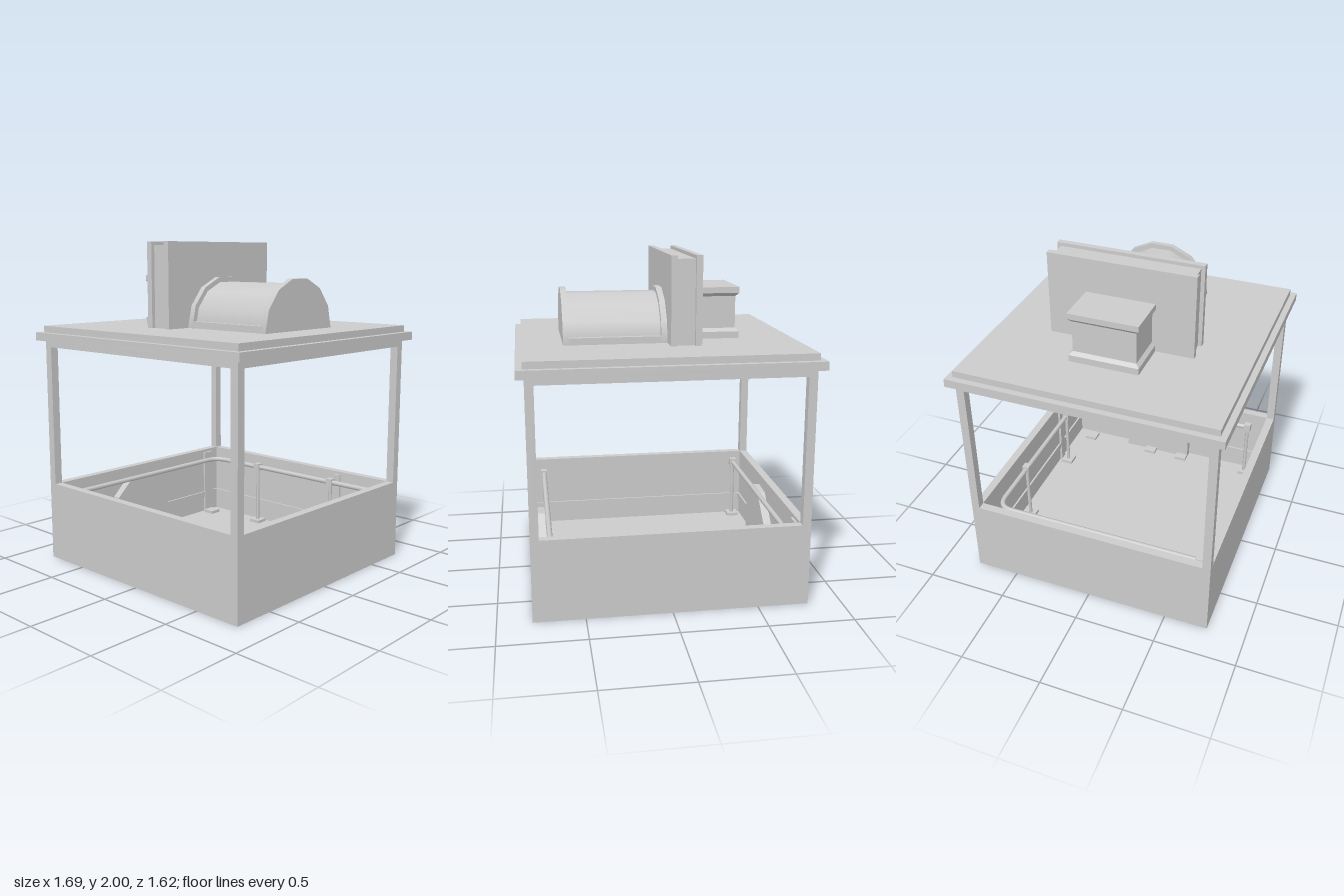
import * as THREE from 'three';

const material = new THREE.MeshStandardMaterial({ color: 0xcccccc });

export function createModel() {
  const root = new THREE.Group();

  function add(name, geometry, x = 0, y = 0, z = 0) {
    const mesh = new THREE.Mesh(geometry, material);
    mesh.name = name;
    mesh.position.set(x, y, z);
    root.add(mesh);
    return mesh;
  }

  // Box given by its lower and upper limits
  function box(name, x0, x1, y0, y1, z0, z1) {
    return add(name, new THREE.BoxGeometry(x1 - x0, y1 - y0, z1 - z0),
      (x0 + x1) / 2, (y0 + y1) / 2, (z0 + z1) / 2);
  }

  // Rectangular frame with an open middle, extruded upwards
  function frame(name, w, d, t, y0, y1) {
    const rect = (P, a, b) => new P([[-a, -b], [a, -b], [a, b], [-a, b]].map(p => new THREE.Vector2(...p)));
    const shape = rect(THREE.Shape, w, d);
    shape.holes.push(rect(THREE.Path, w - t, d - t));
    const geometry = new THREE.ExtrudeGeometry(shape, { depth: y1 - y0, bevelEnabled: false });
    geometry.rotateX(-Math.PI / 2);
    return add(name, geometry, 0, y0, 0);
  }

  const W = 0.8, D = 0.767, T = 0.05;

  // Cabin shell: floor, low walls, corner posts and ceiling
  box('floor', -W + T, W - T, 0, 0.02, -D + T, D - T);
  frame('lowerWalls', W, D, T, 0, 0.49);
  frame('skirtingStrip', W - T, D - T, 0.012, 0.13, 0.17);
  for (const sx of [-1, 1]) for (const sz of [-1, 1]) {
    const post = box('cornerPost', -T / 2, T / 2, 0.49, 1.36, -T / 2, T / 2);
    post.position.x = sx * (W - T / 2);
    post.position.z = sz * (D - T / 2);
  }
  box('ceiling', -W, W, 1.36, 1.4, -D, D);

  // Stepped roof
  box('roofEdge', -0.845, 0.845, 1.4, 1.45, -0.808, 0.808);
  box('roofTop', -0.807, 0.807, 1.45, 1.49, -0.772, 0.772);

  // Handrail on three sides, with a wide bend at one rear corner and a tight one at the other
  const rx = 0.685, rz = 0.655, ry = 0.425, wide = 0.1, tight = 0.03;
  const V = (x, z) => new THREE.Vector3(x, ry, z);
  const rail = new THREE.CurvePath();
  rail.add(new THREE.LineCurve3(V(-rx, 0.7), V(-rx, -rz + wide)));
  rail.add(new THREE.QuadraticBezierCurve3(V(-rx, -rz + wide), V(-rx, -rz), V(-rx + wide, -rz)));
  rail.add(new THREE.LineCurve3(V(-rx + wide, -rz), V(rx - tight, -rz)));
  rail.add(new THREE.QuadraticBezierCurve3(V(rx - tight, -rz), V(rx, -rz), V(rx, -rz + tight)));
  rail.add(new THREE.LineCurve3(V(rx, -rz + tight), V(rx, 0.62)));
  add('handrail', new THREE.TubeGeometry(rail, 160, 0.016, 8, false));

  // Rail stanchions with clamps and foot pads
  function footPad(x, z) {
    box('footPad', x - 0.04, x + 0.04, 0.02, 0.04, z - 0.04, z + 0.04);
  }
  function stanchion(x, z) {
    add('stanchion', new THREE.CylinderGeometry(0.012, 0.012, ry - 0.02, 8), x, (ry + 0.02) / 2, z);
    box('railClamp', x - 0.022, x + 0.022, ry - 0.025, ry + 0.025, z - 0.022, z + 0.022);
    footPad(x, z);
  }
  for (const x of [-0.28, 0.355]) stanchion(x, -rz);
  stanchion(rx, 0.6);
  stanchion(-rx, 0.67);
  for (const s of [-1, 1])
    for (const z of [-0.6, -0.12, 0.12]) footPad(s * rx, z);

  // Upright ribs on the inside of the walls
  box('wallRib', 0.345, 0.395, 0.02, 0.47, -D + T, -D + T + 0.015);
  box('wallRib', -W + T, -W + T + 0.015, 0.02, 0.47, -0.66, -0.58);

  // Chamfered cabinets against the side walls, one a half turn from the other
  const profile = [[-0.16, 0.02], [0.31, 0.02], [0.29, 0.31], [0.17, 0.42], [0.03, 0.41], [-0.16, 0.23]];
  const cabinet = new THREE.ExtrudeGeometry(new THREE.Shape(profile.map(p => new THREE.Vector2(...p))),
    { depth: 0.05, bevelEnabled: false });
  cabinet.rotateY(-Math.PI / 2);
  cabinet.translate(-0.7, 0, 0);
  add('rightCabinet', cabinet);
  add('leftCabinet', cabinet).rotation.y = Math.PI;

  // Upright sheave housing: core between two cheek plates
  box('housingCore', -0.18, -0.07, 1.49, 1.98, -0.42, 0.42);
  box('housingPlate', -0.215, -0.178, 1.49, 2, -0.443, 0.443);
  box('housingPlate', -0.072, -0.035, 1.49, 2, -0.443, 0.443);

  // Half-round drum cover with end flanges and base bars
  function halfDrum(name, radius, x0, x1) {
    const geometry = new THREE.CylinderGeometry(radius, radius, x1 - x0, 7, 1, false, 0, Math.PI);
    geometry.rotateZ(Math.PI / 2);
    return add(name, geometry, (x0 + x1) / 2, 1.49, -0.02);
  }
  halfDrum('drumCover', 0.275, -0.01, 0.55);
  halfDrum('drumFlange', 0.305, -0.036, 0);
  halfDrum('drumFlange', 0.305, 0.535, 0.57);
  for (const s of [-1, 1])
    box('drumBaseBar', 0, 0.535, 1.49, 1.53, -0.02 + s * 0.281 - 0.022, -0.02 + s * 0.281 + 0.022);

  // Motor box with flared base and cap
  function flare(name, y0, y1, inset0, inset1) {
    const mesh = box(name, -0.485, -0.215, y0, y1, -0.21, 0.21);
    const p = mesh.geometry.attributes.position;
    for (let i = 0; i < p.count; i++) {
      const inset = p.getY(i) < 0 ? inset0 : inset1;
      if (p.getX(i) < 0) p.setX(i, p.getX(i) + inset);
      p.setZ(i, p.getZ(i) - Math.sign(p.getZ(i)) * inset);
    }
    mesh.geometry.computeVertexNormals();
  }
  flare('motorBase', 1.49, 1.53, 0, 0);
  flare('motorBaseFlare', 1.53, 1.55, 0, 0.02);
  flare('motorBody', 1.55, 1.74, 0.02, 0.02);
  flare('motorCapFlare', 1.74, 1.76, 0.02, 0);
  flare('motorCap', 1.76, 1.795, 0, 0);

  return root;
}
